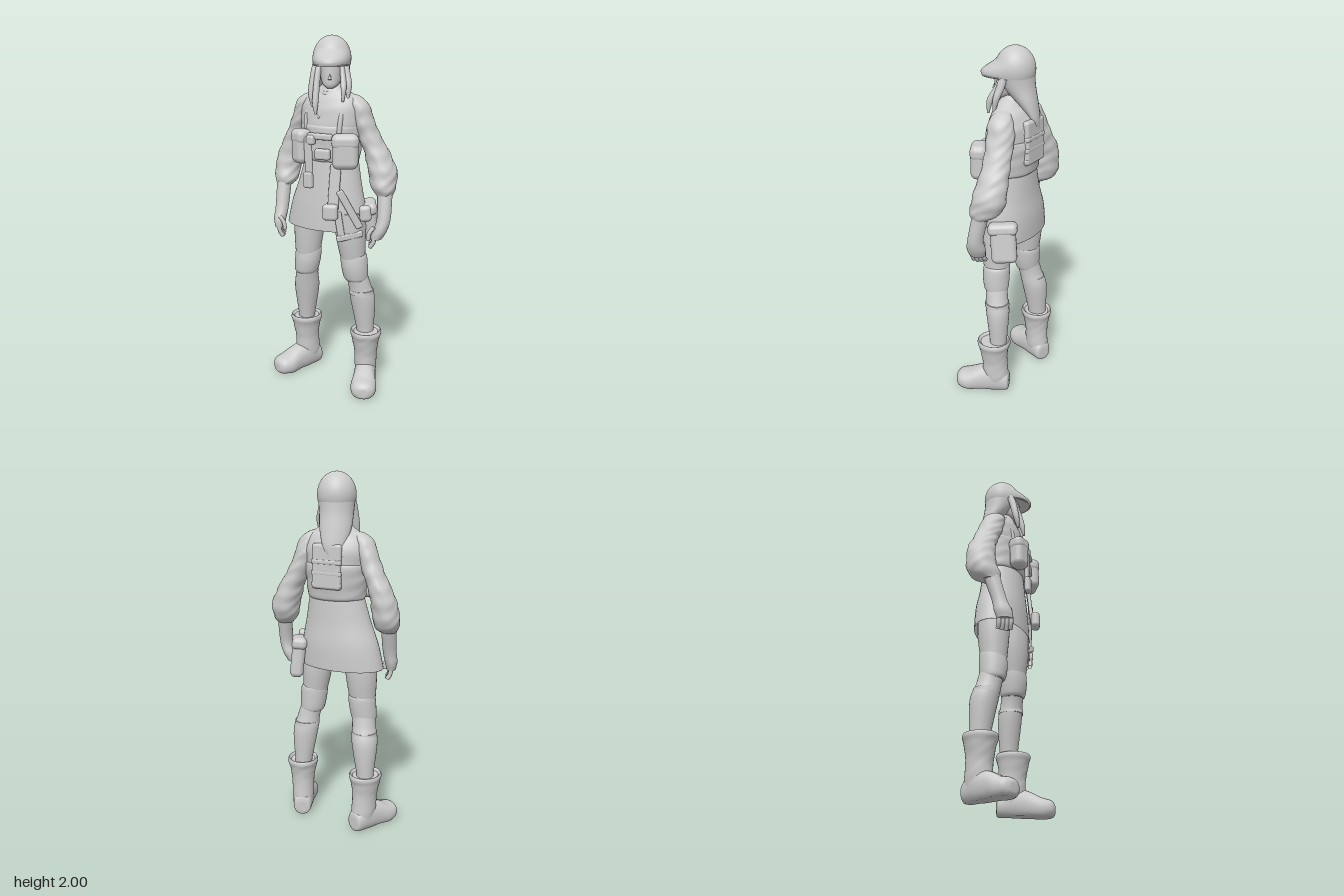
import * as THREE from 'three';
import { RoundedBoxGeometry } from 'three/addons/geometries/RoundedBoxGeometry.js';

const clay = new THREE.MeshStandardMaterial({ color: 0xcccccc, side: THREE.DoubleSide });
clay.name = 'clay grey';
const YAW = 0.4; // the body is turned, left shoulder forward

// Smooth skin over oval rings [x, y, z, halfWidth, halfDepth], listed bottom to top
function loft(rings, { yaw = 0, n = 28, steps = 6, power = 1, folds = 0, caps = true } = {}) {
  const centre = new THREE.CatmullRomCurve3(rings.map(r => new THREE.Vector3(r[0], r[1], r[2])), false, 'catmullrom');
  const size = new THREE.CatmullRomCurve3(rings.map(r => new THREE.Vector3(r[3], r[4], 0)), false, 'catmullrom');
  const rows = (rings.length - 1) * steps, pos = [], index = [];
  const bend = v => Math.sign(v) * Math.abs(v) ** power;
  for (let i = 0; i <= rows; i++) {
    const c = centre.getPoint(i / rows), s = size.getPoint(i / rows);
    for (let j = 0; j < n; j++) {
      const t = j / n * Math.PI * 2;
      const f = 1 + folds * Math.sin(c.y * 70 + 2 * Math.sin(t * 2 + c.y * 9)) * Math.sin(t * 3 + c.y * 20);
      const u = bend(Math.cos(t)) * s.x * f, v = bend(Math.sin(t)) * s.y * f;
      pos.push(c.x + u * Math.cos(yaw) - v * Math.sin(yaw), c.y, c.z + u * Math.sin(yaw) + v * Math.cos(yaw));
      if (i < rows) {
        const a = i * n + j, b = i * n + (j + 1) % n;
        index.push(a, a + n, b, b, a + n, b + n);
      }
    }
  }
  if (caps) for (const row of [0, rows]) {
    const base = pos.length / 3, c = centre.getPoint(row / rows);
    pos.push(...pos.slice(row * n * 3, (row + 1) * n * 3), c.x, c.y, c.z);
    for (let j = 0; j < n; j++) {
      const a = base + j, b = base + (j + 1) % n;
      index.push(...(row ? [a, base + n, b] : [a, b, base + n]));
    }
  }
  const g = new THREE.BufferGeometry();
  g.setAttribute('position', new THREE.Float32BufferAttribute(pos, 3));
  g.setIndex(index);
  g.computeVertexNormals();
  return g;
}

// Dome whose lower front is drawn out into a brim
function helmetGeometry() {
  const g = new THREE.SphereGeometry(1, 48, 28, 0, Math.PI * 2, 0, Math.PI * 0.6);
  const p = g.attributes.position;
  for (let i = 0; i < p.count; i++) {
    const reach = 1 - THREE.MathUtils.smoothstep(p.getY(i), -0.2, 0.5);
    if (p.getZ(i) > 0) p.setZ(i, p.getZ(i) * (1 + 0.72 * reach));
  }
  g.scale(0.104, 0.12, 0.107);
  g.computeVertexNormals();
  return g;
}

export function createModel() {
  const model = new THREE.Group();
  model.name = 'figure';
  const add = (name, geo, p = [0, 0, 0], r = [0, 0, 0], parent = model) => {
    const m = new THREE.Mesh(geo, clay);
    m.name = name;
    m.position.set(...p);
    m.rotation.set(...r);
    parent.add(m);
    return m;
  };
  const box = (name, w, h, d, p, r, parent) =>
    add(name, new RoundedBoxGeometry(w, h, d, 4, Math.min(w, h, d) * 0.4), p, r, parent);
  const cord = (name, pts, radius, parent) => add(name, new THREE.TubeGeometry(
    new THREE.CatmullRomCurve3(pts.map(p => new THREE.Vector3(...p))), 24, radius, 8), [0, 0, 0], [0, 0, 0], parent);

  // Helmet with brim
  add('helmet', helmetGeometry(), [0, 1.88, -0.048]);
  add('brimLining', new THREE.SphereGeometry(1, 36, 12).scale(0.097, 0.007, 0.106), [0, 1.848, 0.018]);

  // Head and neck
  add('head', loft([[0, 1.725, 0.035, 0.016, 0.018], [0, 1.745, 0.015, 0.042, 0.048],
    [0, 1.79, -0.02, 0.061, 0.082], [0, 1.86, -0.03, 0.072, 0.088]]));
  add('nose', new THREE.ConeGeometry(0.009, 0.045, 8), [0, 1.795, 0.06], [-0.2, 0, 0]);
  add('neck', new THREE.CylinderGeometry(0.042, 0.05, 0.11, 20), [0, 1.73, -0.035]);
  add('collar', new THREE.TorusGeometry(0.056, 0.014, 10, 28), [0, 1.705, -0.03], [Math.PI / 2 + 0.2, 0, 0]);

  // Hair: long sheet behind and loose locks in front
  add('backHair', loft([[0.015, 1.57, -0.17, 0.025, 0.014], [0.01, 1.63, -0.156, 0.06, 0.026],
    [0.003, 1.71, -0.115, 0.084, 0.055], [0, 1.79, -0.07, 0.092, 0.086], [0, 1.86, -0.05, 0.099, 0.1]]));
  for (const [x, low, z, w] of [[-0.075, 1.59, 0.065, 0.017], [-0.098, 1.63, 0.03, 0.02], [0.072, 1.66, 0.07, 0.015], [0.095, 1.67, 0.035, 0.018]]) {
    add('hairLock', loft([[x, low, z + 0.012, 0.006, 0.006], [x * 1.03, low + 0.07, z, w, 0.018],
      [x * 0.92, 1.8, z * 0.4, w, 0.022], [x * 0.8, 1.86, z * 0.2 - 0.01, w, 0.022]], { n: 12 }));
  }

  // Torso, vest and tunic
  add('torso', loft([[0, 1.33, -0.04, 0.155, 0.112], [0, 1.4, -0.04, 0.16, 0.122], [0, 1.5, -0.045, 0.176, 0.13],
    [0, 1.6, -0.05, 0.186, 0.122], [0, 1.665, -0.045, 0.163, 0.096], [0, 1.7, -0.038, 0.115, 0.072],
    [0, 1.73, -0.033, 0.065, 0.055], [0, 1.75, -0.03, 0.044, 0.044]], { yaw: YAW, n: 40, folds: 0.01, caps: false }));
  add('vest', loft([[0, 1.33, -0.04, 0.156, 0.114], [0, 1.35, -0.04, 0.166, 0.126], [0, 1.44, -0.045, 0.174, 0.135],
    [0, 1.51, -0.047, 0.181, 0.137], [0, 1.53, -0.047, 0.176, 0.128]], { yaw: YAW, n: 40, folds: 0.014, caps: false }));
  add('tunic', loft([[-0.03, 0.945, -0.045, 0.243, 0.138], [-0.028, 0.96, -0.045, 0.245, 0.14], [-0.02, 1.08, -0.045, 0.224, 0.137],
    [-0.01, 1.2, -0.04, 0.19, 0.125], [0, 1.34, -0.04, 0.157, 0.114]], { yaw: YAW, n: 44, caps: false }));

  // Gear aligned with the turned torso
  const gear = new THREE.Group();
  gear.name = 'harness';
  gear.position.set(0, 0, -0.045);
  gear.rotation.y = -YAW;
  model.add(gear);
  box('backPanel', 0.17, 0.24, 0.04, [0, 1.515, -0.118], [0.03, 0, 0], gear);
  for (const y of [1.42, 1.48, 1.54]) box('backWebbing', 0.175, 0.03, 0.03, [0, y, -0.125], [0.03, 0, 0], gear);
  for (const s of [-1, 1]) cord('shoulderStrap', [[s * 0.1, 1.45, 0.11], [s * 0.105, 1.58, 0.09], [s * 0.1, 1.66, 0.05],
    [s * 0.1, 1.692, 0.01], [s * 0.095, 1.66, -0.062], [s * 0.08, 1.57, -0.108]], 0.014, gear);
  cord('leftLapel', [[0.055, 1.71, 0.04], [0.04, 1.65, 0.083], [-0.02, 1.57, 0.121]], 0.007, gear);
  cord('rightLapel', [[-0.055, 1.71, 0.04], [-0.05, 1.65, 0.081], [-0.02, 1.57, 0.121]], 0.007, gear);

  // Chest pouches, buckles and hanging straps
  for (const [name, w, p, turn] of [['leftPouch', 0.14, [0.09, 1.4, 0.13], 0.12], ['rightPouch', 0.1, [-0.16, 1.41, 0.04], -0.8]]) {
    const pouch = new THREE.Group();
    pouch.name = name;
    pouch.position.set(...p);
    pouch.rotation.y = turn;
    model.add(pouch);
    box(name + 'Body', w, 0.185, 0.088, [0, 0, 0], [0, 0, 0], pouch);
    box(name + 'Flap', w + 0.008, 0.085, 0.093, [0, 0.055, 0], [0, 0, 0], pouch);
  }
  box('chestBand', 0.15, 0.035, 0.03, [-0.05, 1.475, 0.098], [0, -0.35, 0]);
  box('chestBuckle', 0.09, 0.06, 0.035, [-0.035, 1.38, 0.105], [0, -0.3, 0]);
  box('chestBuckle', 0.05, 0.055, 0.04, [-0.1, 1.455, 0.09], [0, -0.5, 0]);
  box('hangingStrap', 0.045, 0.28, 0.022, [-0.112, 1.33, 0.09], [0, -0.4, 0.04]);
  box('hangingStrapEnd', 0.055, 0.09, 0.032, [-0.115, 1.235, 0.095], [0, -0.4, 0.04]);
  box('frontStrap', 0.06, 0.27, 0.022, [0.03, 1.19, 0.118], [-0.1, -0.1, -0.06]);
  box('frontStrapBag', 0.085, 0.09, 0.05, [0.012, 1.07, 0.148], [0, -0.1, 0]);
  box('hipStrap', 0.04, 0.24, 0.02, [0.115, 1.08, 0.118], [0, 0.2, 0.5]);
  box('thighStrap', 0.15, 0.035, 0.022, [0.115, 0.925, 0.112], [0, 0.25, 0.2]);
  box('strapLink', 0.04, 0.15, 0.02, [0.06, 0.99, 0.12], [0, 0, 0.15]);
  box('hipGadget', 0.065, 0.09, 0.055, [0.2, 1.06, 0.115], [0, 0.2, 0.08]);

  // Hip case on the left side
  const hip = new THREE.Group();
  hip.name = 'hipCase';
  hip.position.set(0.22, 0.985, -0.025);
  hip.rotation.set(0.07, 0.1, 0.1);
  model.add(hip);
  box('caseBody', 0.075, 0.22, 0.14, [0, -0.005, 0], [0, 0, 0], hip);
  box('caseLid', 0.085, 0.065, 0.16, [0, 0.08, 0], [0, 0, 0], hip);

  // Arms: puffed sleeve, cuff, gloved hand and fingers (rings bottom to top)
  const arms = {
    left: {
      sleeve: [[0.3, 1.16, 0.08, 0.046, 0.048], [0.295, 1.2, 0.055, 0.068, 0.085], [0.288, 1.28, 0.035, 0.08, 0.09], [0.255, 1.38, 0.018, 0.07, 0.078],
        [0.21, 1.47, 0.005, 0.063, 0.072], [0.174, 1.56, 0, 0.06, 0.074], [0.148, 1.64, 0, 0.057, 0.064], [0.125, 1.68, -0.005, 0.035, 0.04], [0.115, 1.692, -0.008, 0.008, 0.01]],
      hand: [[0.262, 0.92, 0.11, 0.034, 0.044], [0.285, 0.97, 0.112, 0.038, 0.051], [0.302, 1.04, 0.11, 0.038, 0.043], [0.304, 1.18, 0.08, 0.042, 0.045]],
      tip: [0.255, 0.925, 0.11], lean: -0.015
    },
    right: {
      sleeve: [[-0.285, 1.16, -0.125, 0.046, 0.048], [-0.274, 1.2, -0.158, 0.068, 0.085], [-0.267, 1.28, -0.178, 0.074, 0.083], [-0.243, 1.38, -0.178, 0.066, 0.077],
        [-0.207, 1.47, -0.155, 0.059, 0.071], [-0.173, 1.56, -0.125, 0.057, 0.07], [-0.148, 1.64, -0.105, 0.056, 0.064], [-0.125, 1.68, -0.09, 0.035, 0.04], [-0.115, 1.692, -0.085, 0.008, 0.01]],
      hand: [[-0.305, 0.925, -0.05, 0.026, 0.042], [-0.304, 0.97, -0.06, 0.035, 0.048], [-0.294, 1.04, -0.08, 0.038, 0.041], [-0.286, 1.18, -0.12, 0.042, 0.045]],
      tip: [-0.305, 0.925, -0.05], lean: 0.012
    }
  };
  for (const [side, a] of Object.entries(arms)) {
    add(side + 'Sleeve', loft(a.sleeve, { folds: 0.045, steps: 9 }));
    add(side + 'ForearmAndHand', loft(a.hand));
    const [x, y, z] = a.tip;
    for (let i = 0; i < 4; i++) {
      const fz = z + (i - 1.5) * 0.021;
      cord(side + 'Finger', [[x, y + 0.015, fz], [x + a.lean * 0.6, y - 0.025, fz], [x + a.lean * 1.8, y - 0.06 + Math.abs(i - 1.7) * 0.007, fz - 0.004]], 0.0125);
    }
    const s = Math.sign(x);
    cord(side + 'Thumb', [[x - s * 0.005, y + 0.065, z + 0.025], [x - s * 0.03, y + 0.03, z + 0.033], [x - s * 0.036, y - 0.01, z + 0.034]], 0.012);
  }

  // Legs, knee pads, stocking bands and boots
  const legs = {
    left: {
      leg: [[0.203, 0.28, 0.012, 0.05, 0.05], [0.2, 0.34, 0.01, 0.051, 0.05], [0.186, 0.52, 0.015, 0.072, 0.066], [0.165, 0.62, 0.024, 0.064, 0.062],
        [0.135, 0.73, 0.03, 0.066, 0.066], [0.115, 0.9, 0.03, 0.084, 0.088], [0.105, 1.05, 0.03, 0.09, 0.09]],
      knee: [0.138, 0.725, 0.03], band: [0.178, 0.57, 0.02], boot: [0.207, 0.035], turn: 0
    },
    right: {
      leg: [[-0.169, 0.28, -0.165, 0.05, 0.054], [-0.168, 0.34, -0.165, 0.05, 0.055], [-0.163, 0.52, -0.147, 0.073, 0.074], [-0.158, 0.62, -0.12, 0.066, 0.067],
        [-0.15, 0.73, -0.1, 0.07, 0.069], [-0.14, 0.9, -0.1, 0.087, 0.086], [-0.13, 1.05, -0.095, 0.09, 0.09]],
      knee: [-0.15, 0.715, -0.102], band: [-0.162, 0.57, -0.137], boot: [-0.17, -0.162], turn: -0.8
    }
  };
  for (const [side, l] of Object.entries(legs)) {
    add(side + 'Leg', loft(l.leg));
    const [kx, ky, kz] = l.knee, [bx, by, bz] = l.band;
    add(side + 'KneePad', loft([[kx * 1.07, ky - 0.08, kz, 0.06, 0.06], [kx * 1.05, ky - 0.06, kz, 0.07, 0.07],
      [kx, ky, kz + 0.002, 0.076, 0.076], [kx * 0.96, ky + 0.06, kz, 0.076, 0.074], [kx * 0.94, ky + 0.08, kz, 0.066, 0.066]]));
    add(side + 'StockingBand', loft([[bx, by - 0.01, bz, 0.072, 0.07], [bx, by + 0.012, bz, 0.07, 0.068]]));
    const boot = new THREE.Group();
    boot.name = side + 'Boot';
    boot.position.set(l.boot[0], 0, l.boot[1]);
    boot.rotation.y = l.turn;
    model.add(boot);
    // The last rings fold into the shaft to leave an open top
    add(side + 'BootShaft', loft([[0, 0.04, -0.016, 0.056, 0.068], [0, 0.11, -0.01, 0.064, 0.075], [0, 0.2, -0.004, 0.066, 0.074],
      [0, 0.28, 0, 0.079, 0.085], [0, 0.318, 0, 0.09, 0.096], [0, 0.338, 0, 0.084, 0.09], [0, 0.325, 0, 0.07, 0.076]], { folds: 0.014 }), [0, 0, 0], [0, 0, 0], boot);
    const foot = loft([[0, -0.09, -0.05, 0.03, 0.035], [0, -0.078, -0.055, 0.05, 0.06], [0, -0.01, -0.07, 0.06, 0.085], [0, 0.08, -0.058, 0.065, 0.08],
      [0, 0.15, -0.042, 0.074, 0.064], [0, 0.2, -0.042, 0.063, 0.05], [0, 0.222, -0.04, 0.035, 0.032], [0, 0.226, -0.04, 0.012, 0.012]], { power: 0.9 });
    foot.rotateX(Math.PI / 2);
    const p = foot.attributes.position;
    for (let i = 0; i < p.count; i++) p.setY(i, Math.max(0, p.getY(i)));
    foot.computeVertexNormals();
    add(side + 'BootFoot', foot, [0, 0, 0], [0, 0, 0], boot);
  }
  return model;
}
